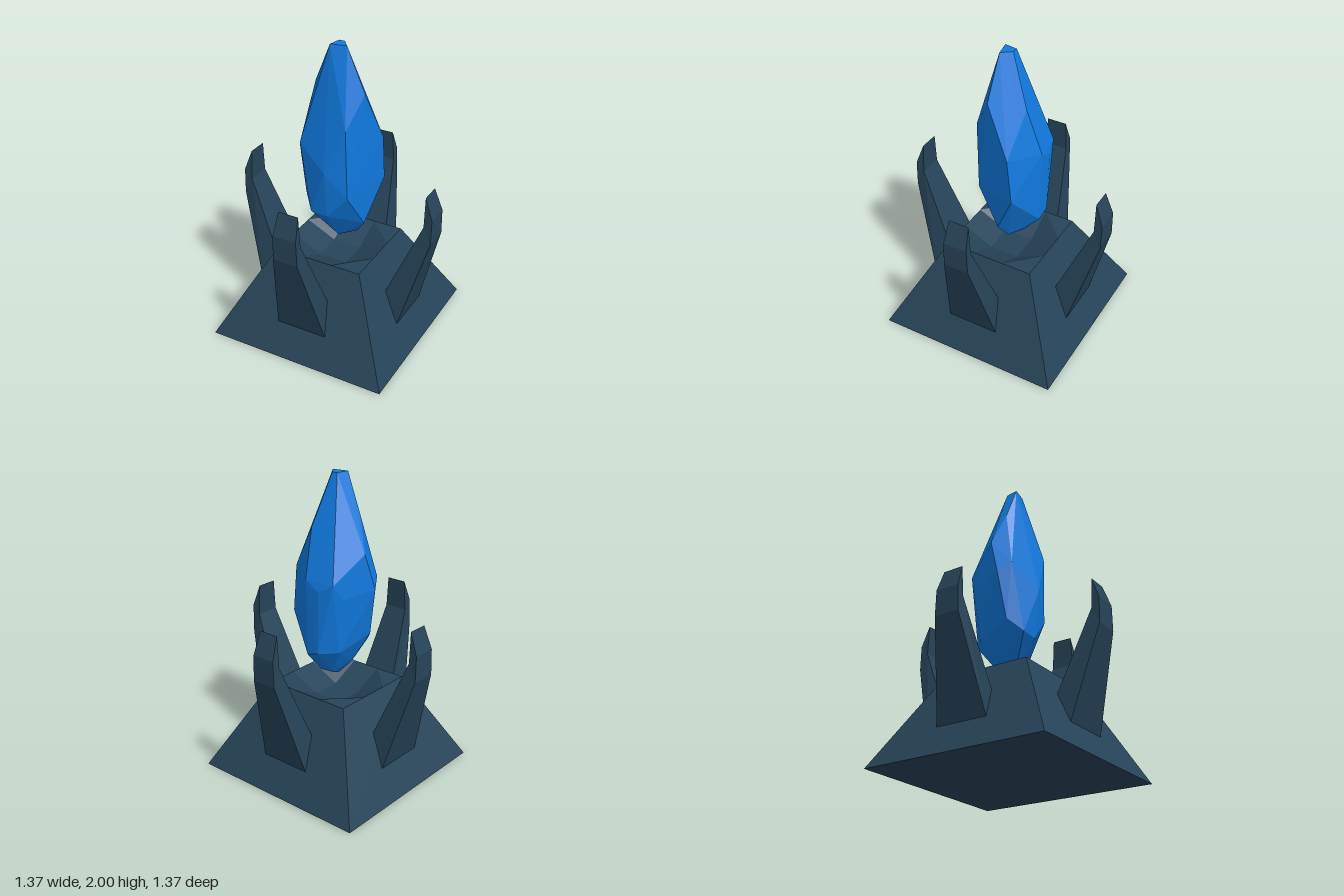
import * as THREE from 'three';
import { ConvexGeometry } from 'three/addons/geometries/ConvexGeometry.js';

const stone = new THREE.MeshStandardMaterial({ color: 0x264459, flatShading: true });
stone.name = 'dark slate stone';
const blue = new THREE.MeshStandardMaterial({ color: 0x107adf, flatShading: true });
blue.name = 'bright blue crystal';

// Flat-faced geometry from a list of convex polygons
function facets(polygons) {
  const out = [];
  for (const p of polygons)
    for (let i = 1; i < p.length - 1; i++) out.push(...p[0], ...p[i], ...p[i + 1]);
  const g = new THREE.BufferGeometry();
  g.setAttribute('position', new THREE.Float32BufferAttribute(out, 3));
  g.computeVertexNormals();
  return g;
}

// Quarter turns about y
function turn([x, y, z], k) {
  for (let i = 0; i < k; i++) [x, z] = [z, -x];
  return [x, y, z];
}

// Truncated pyramid with a shallow dished top, defined by one quarter
function baseGeometry() {
  const B = 0.625, T = 0.305, C = 0.1, H = 0.605, F = 0.505;
  const quarter = [
    [[-B, 0, B], [B, 0, B], [T, H, T], [-T, H, T]],   // outer side
    [[0, 0, 0], [B, 0, B], [-B, 0, B]],               // underside
    [[-C, H, T], [C, H, T], [C, F, C], [-C, F, C]],   // dish side
    [[C, H, T], [T, H, T], [T, H, C]],                // rim corner
    [[C, H, T], [T, H, C], [C, F, C]],                // dish corner
    [[0, F, 0], [-C, F, C], [C, F, C]],               // dish floor
  ];
  const all = [];
  for (let k = 0; k < 4; k++)
    for (const p of quarter) all.push(p.map((v) => turn(v, k)));
  return facets(all);
}

// Claw lofted through sections: outer radius, height, half width, then the same for the inner edge
function clawGeometry() {
  const loops = [
    [0.52, 0.2, 0.175, 0.41, 0.4, 0.135],
    [0.687, 0.82, 0.085, 0.633, 0.93, 0.08],
    [0.687, 0.99, 0.08, 0.633, 1.135, 0.068],
  ].map(([ro, yo, wo, ri, yi, wi]) => [[-wo, yo, ro], [wo, yo, ro], [wi, yi, ri], [-wi, yi, ri]]);
  const polys = [[...loops[0]].reverse(), loops[2]];
  for (let i = 0; i < 2; i++)
    for (let j = 0; j < 4; j++) {
      const n = (j + 1) % 4;
      polys.push([loops[i][j], loops[i][n], loops[i + 1][n], loops[i + 1][j]]);
    }
  return facets(polys);
}

// Irregular cut gem
function crystalGeometry() {
  const pts = [
    // tip
    [-0.02, 2, -0.025], [0.02, 2, -0.025], [0.07, 2, 0.04], [-0.035, 2, 0.06],
    // shoulders
    [0.2, 1.72, 0.05], [0.08, 1.67, -0.15], [-0.14, 1.75, 0.05], [0.13, 1.5, 0.17], [-0.23, 1.52, -0.01],
    // girdle
    [0, 1.2, 0.21], [-0.21, 1.34, 0.14], [-0.26, 1.28, 0.06], [0.25, 1.38, -0.11], [0.25, 1.08, -0.14],
    [0.05, 1.36, -0.245], [-0.05, 1.3, -0.245], [-0.15, 1.35, -0.22], [-0.18, 1.25, -0.15],
    // lower facets
    [0.14, 1.03, 0.16], [-0.12, 0.88, 0.17], [-0.2, 0.96, 0.09], [0, 0.87, 0.175], [-0.04, 0.88, -0.24],
    [0.05, 0.85, -0.235], [0.18, 0.78, 0], [-0.14, 0.88, -0.15],
    // point
    [0.11, 0.68, -0.04], [0.04, 0.71, -0.12], [0, 0.65, 0.02], [-0.09, 0.75, 0.04], [-0.04, 0.7, -0.09],
  ];
  return new ConvexGeometry(pts.map((p) => new THREE.Vector3(...p)));
}

export function createModel() {
  const model = new THREE.Group();
  model.name = 'crystalPedestal';
  const add = (name, geometry, material) => {
    const mesh = new THREE.Mesh(geometry, material);
    mesh.name = name;
    model.add(mesh);
    return mesh;
  };
  add('base', baseGeometry(), stone);
  add('crystal', crystalGeometry(), blue);
  // One claw on each side of the base
  const claw = clawGeometry();
  ['frontClaw', 'leftClaw', 'backClaw', 'rightClaw'].forEach((name, k) => {
    add(name, claw, stone).rotation.y = (k * Math.PI) / 2;
  });
  return model;
}
